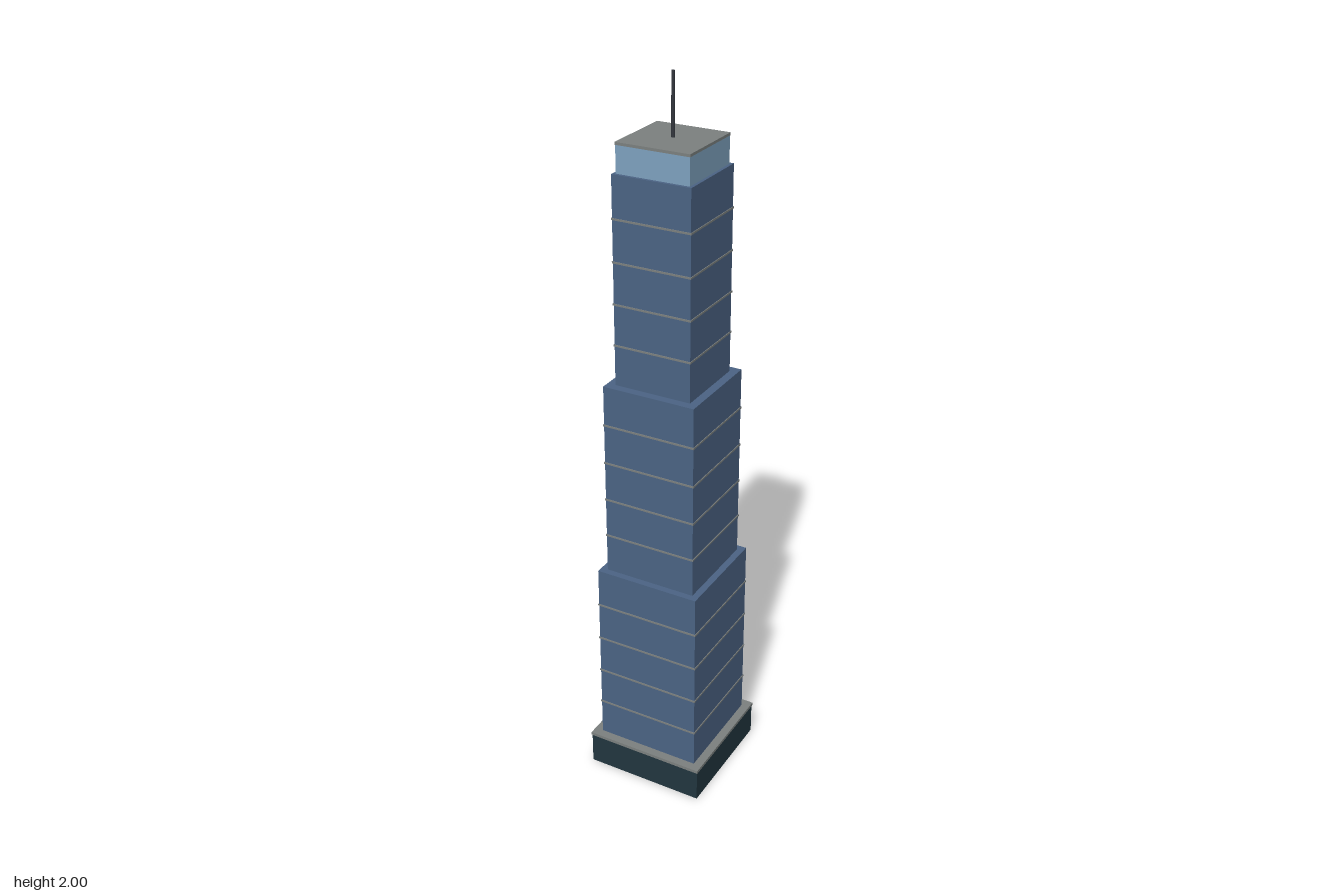
import * as THREE from 'three';

const mat = (name, color, extra = {}) => {
  const m = new THREE.MeshStandardMaterial({ color, ...extra });
  m.name = name;
  return m;
};

export function createModel() {
  const tower = new THREE.Group();
  tower.name = 'skyscraper';

  const darkStone = mat('darkStone', 0x22363f, { side: THREE.DoubleSide });
  const blueGlass = mat('blueGlass', 0x4c6485);
  const paleGlass = mat('paleGlass', 0x7fa3c0);
  const greyTrim = mat('greyTrim', 0x7c8180);
  const darkMetal = mat('darkMetal', 0x33373e);

  // Square block of half-width h between two heights
  const block = (name, h, y0, y1, material, parent = tower) => {
    const mesh = new THREE.Mesh(new THREE.BoxGeometry(2 * h, y1 - y0, 2 * h), material);
    mesh.position.y = (y0 + y1) / 2;
    mesh.name = name;
    parent.add(mesh);
    return mesh;
  };

  // Podium, hollow and open underneath (bottom face group left out)
  const podium = block('podium', 0.172, 0, 0.092, Array(6).fill(darkStone));
  podium.geometry.groups.splice(3, 1);
  block('podiumSlab', 0.174, 0.093, 0.102, greyTrim);

  // Three stepped tiers, each with four thin floor bands
  const start = 0.1, tierHeight = 0.555, step = tierHeight / 5;
  const tiers = [['lower', 0.15], ['middle', 0.131], ['upper', 0.108]];
  tiers.forEach(([label, h], i) => {
    const tier = new THREE.Group();
    tier.name = label + 'Tier';
    const y0 = start + i * tierHeight;
    block(label + 'Shaft', h, y0, y0 + tierHeight, blueGlass, tier);
    for (let k = 1; k < 5; k++) {
      const y = y0 + k * step;
      block(label + 'FloorBand' + k, h + 0.002, y - 0.0025, y + 0.0025, greyTrim, tier);
    }
    tower.add(tier);
  });

  // Glass crown with a flat roof
  block('crown', 0.1, 1.765, 1.835, paleGlass);
  block('roof', 0.101, 1.835, 1.842, greyTrim);

  // Antenna mast
  const mast = new THREE.Mesh(new THREE.CylinderGeometry(0.004, 0.005, 0.16, 12), darkMetal);
  mast.position.y = 1.92;
  mast.name = 'antenna';
  tower.add(mast);

  return tower;
}
